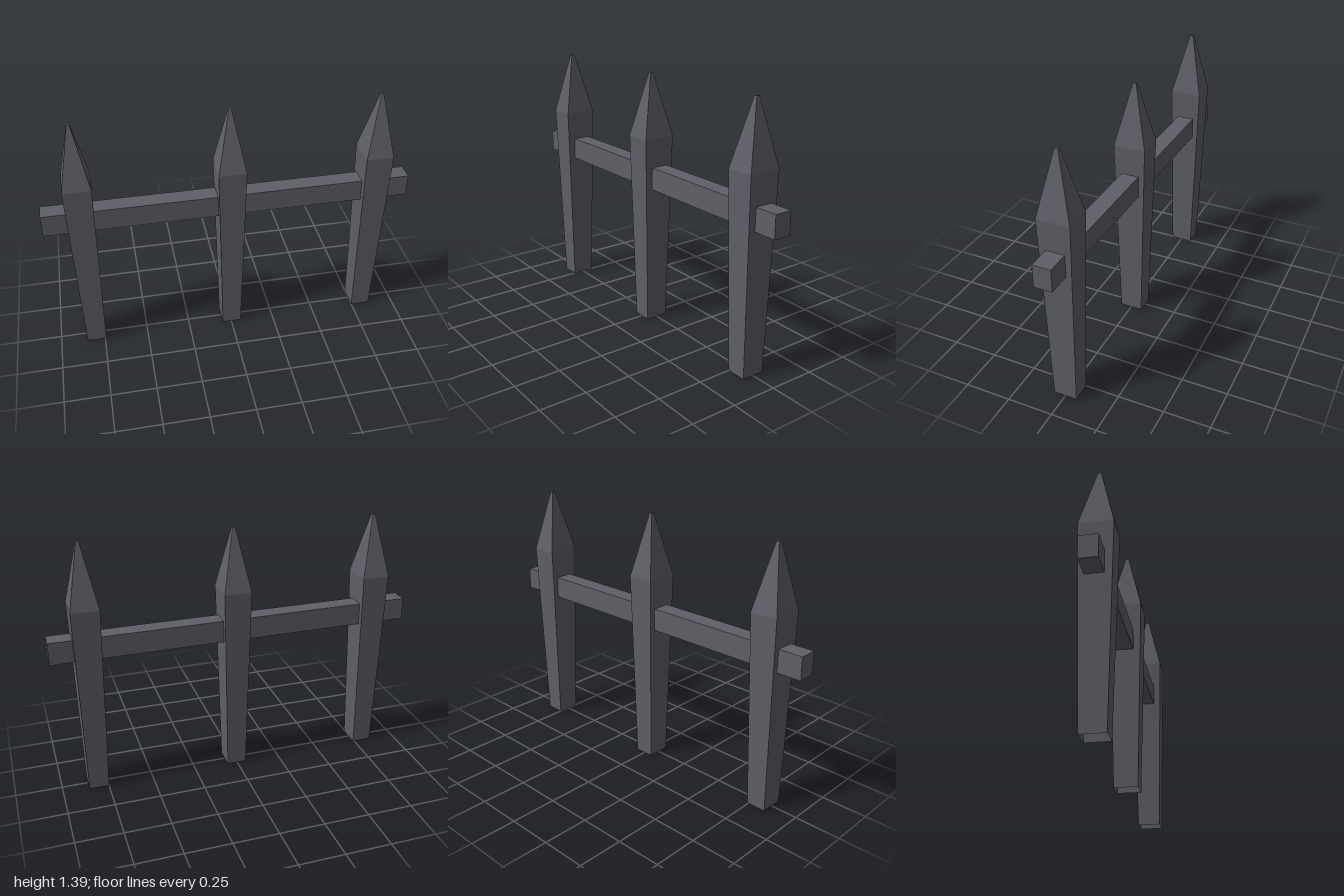
import * as THREE from 'three';

export function createModel() {
  const model = new THREE.Group();
  model.name = 'fence';
  const iron = new THREE.MeshStandardMaterial({ color: 0x5f5f68, side: THREE.DoubleSide });
  iron.name = 'darkIron';

  // Post: four-sided, open underneath, widening upward to a pointed head.
  // Profile radius is a fraction of the widest half-width.
  const profile = [[0.715, 0], [1, 1.056], [0.1, 1.395], [0, 1.395]]
    .map(([r, y]) => new THREE.Vector2(r * Math.SQRT2, y));
  const postGeometry = new THREE.LatheGeometry(profile, 4, Math.PI / 4)
    .scale(0.075, 1, 0.0885)
    .toNonIndexed();
  postGeometry.computeVertexNormals();

  [['rightPost', -0.797], ['middlePost', 0.003], ['leftPost', 0.803]].forEach(([name, x]) => {
    const post = new THREE.Mesh(postGeometry, iron);
    post.name = name;
    post.position.x = x;
    model.add(post);
  });

  // Crossbar running through all posts
  const rail = new THREE.Mesh(new THREE.BoxGeometry(2, 0.122, 0.097), iron);
  rail.name = 'rail';
  rail.position.set(0, 0.836, -0.004);
  model.add(rail);

  return model;
}
